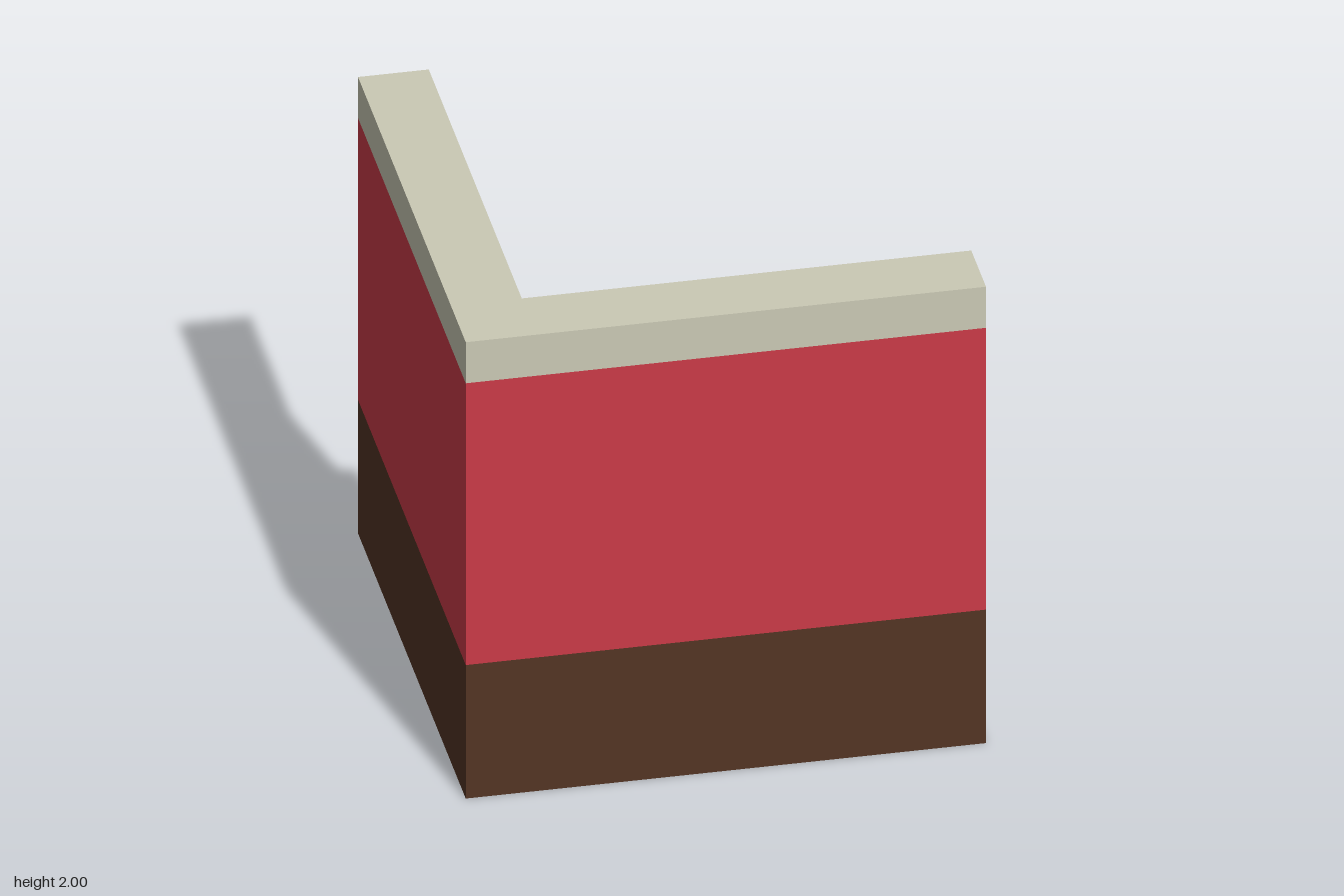
import * as THREE from 'three';
import { mergeGeometries } from 'three/addons/utils/BufferGeometryUtils.js';

const X = 1, Z = 0.995;

// Plan stations of the L: free end of front wall, mitred corner, free end of side wall.
// A profile point is [thickness from outer face, height, inset from the free ends].
const stations = [
  ([t, y, e = 0]) => [X - e, y, Z - t],
  ([t, y]) => [-X + t, y, Z - t],
  ([t, y, e = 0]) => [-X + t, y, -Z + e],
];

function geometry(points, index) {
  const g = new THREE.BufferGeometry();
  g.setAttribute('position', new THREE.Float32BufferAttribute(points.flat(), 3));
  g.setIndex(index);
  g.computeVertexNormals();
  return g;
}

// Sweep one run of profile points past the given stations
function strip(run, stops) {
  const n = run.length, index = [];
  for (let s = 0; s < stops.length - 1; s++) {
    for (let i = 0; i < n - 1; i++) {
      const a = s * n + i, b = a + n;
      index.push(a, b, b + 1, a, b + 1, a + 1);
    }
  }
  return geometry(stops.flatMap((f) => run.map(f)), index);
}

// Both arms of a run; softCorner blends the shading round the corner
function arms(run, softCorner = false) {
  return softCorner ? [strip(run, stations)]
    : [strip(run, stations.slice(0, 2)), strip(run, stations.slice(1))];
}

// Flat polygon repeated at both free ends
function ends(outline) {
  const faces = THREE.ShapeUtils.triangulateShape(outline.map(([t, y]) => new THREE.Vector2(t, y)), []);
  return [
    geometry(outline.map(stations[0]), faces.flat()),
    geometry(outline.map(stations[2]), faces.flatMap(([a, b, c]) => [a, c, b])),
  ];
}

// Top, outer face and underside that close a band
function shell(bottom, top, tBottom, tTop) {
  return [
    [[tTop, top], [0, top]],
    [[0, top], [0, bottom]],
    [[0, bottom], [tBottom, bottom]],
  ].flatMap((r) => arms(r));
}

export function createModel() {
  const group = new THREE.Group();
  const add = (name, colorName, color, parts) => {
    const material = new THREE.MeshStandardMaterial({ color });
    material.name = colorName;
    const mesh = new THREE.Mesh(mergeGeometries(parts), material);
    mesh.name = name;
    group.add(mesh);
  };

  const wall = 0.12, dado = 0.585, corniceBase = 1.82;

  // Painted wall
  const face = [[wall, dado], [wall, corniceBase]];
  add('paintedWall', 'red paint', 0xcb3b48, [
    ...arms(face, true),
    ...shell(dado, corniceBase, wall, wall),
    ...ends([[0, dado], ...face, [0, corniceBase]]),
  ]);

  // Wainscot with a recessed panel and a moulded cap
  const depth = 0.18, back = 0.16, inset = 0.04;
  const cap = [[depth, 0.55], [0.17, 0.56], [0.15, 0.568], [0.135, 0.575], [0.13, dado]];
  const panel = [[depth, 0], [back, 0.03, inset], [back, 0.52, inset], [depth, 0.55]];
  const bevel = panel.map(stations[0]), farBevel = panel.map(stations[2]);
  add('wainscot', 'dark wood', 0x533424, [
    ...panel.slice(1).flatMap((p, i) => arms([panel[i], p])),
    geometry(bevel, [0, 1, 2, 0, 2, 3]),
    geometry(farBevel, [0, 2, 1, 0, 3, 2]),
    ...arms(cap),
    ...shell(0, dado, depth, 0.13),
    ...ends([[0, 0], [depth, 0], ...cap, [0, dado]]),
  ]);

  // Cornice: bead, cove and flat lip
  const runs = [
    [[wall, corniceBase], [0.138, 1.824], [0.145, 1.835]],
    [[0.145, 1.835], [0.165, 1.845], [0.183, 1.86], [0.19, 1.875]],
    [[0.19, 1.875], [0.198, 1.905], [0.213, 1.935], [0.232, 1.955], [0.258, 1.965]],
    [[0.258, 1.965], [0.263, 1.972], [0.272, 1.975]],
    [[0.272, 1.975], [0.272, 2]],
  ];
  const outline = [[0, corniceBase], runs[0][0], ...runs.flatMap((r) => r.slice(1)), [0, 2]];
  add('cornice', 'cream plaster', 0xcac9b5, [
    ...runs.flatMap((r) => arms(r)),
    ...shell(corniceBase, 2, wall, 0.272),
    ...ends(outline),
  ]);

  return group;
}
